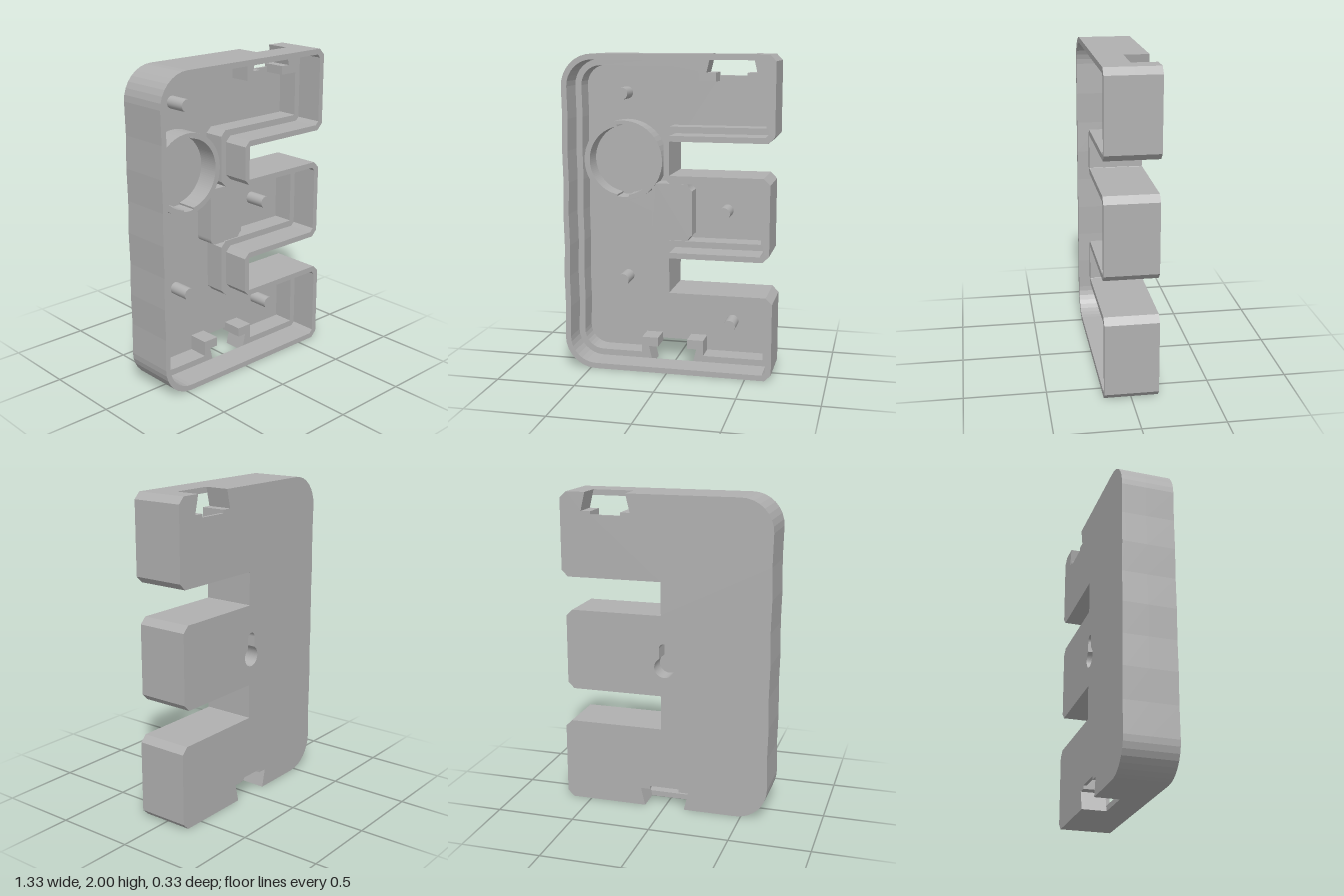
import * as THREE from 'three';

const BACK = -0.165, FLOOR = -0.145, LEDGE = -0.01, FRONT = 0.165;
const WALL = 0.075, RIM = 0.035;
const TOP_SLOT = 0.37; // x centre of the top slot; the bottom slot is at x = 0

const vec = (pts) => pts.map(([x, y]) => new THREE.Vector2(x, y));

// Right side of the E outline inset by d, from the bottom edge up to the top edge
function rightSide(d) {
  const c = Math.max(0.0025, 0.04 - 0.5 * d), k = d ? 0.035 : 0.002;
  const n = 0.02 - d;
  const pts = [];
  const arm = (x, y0, y1) => pts.push([x - c, y0 + d], [x, y0 + d + c], [x, y1 - d - c], [x - c, y1 - d]);
  const notch = (y0, y1) => pts.push([n + k, y0 - d], [n, y0 - d + k], [n, y1 + d - k], [n + k, y1 + d]);
  arm(0.663 - d, 0, 0.53);
  notch(0.53, 0.75);
  arm(0.64 - d, 0.75, 1.265);
  notch(1.265, 1.475);
  arm(0.663 - d, 1.475, 2);
  return pts;
}

// Left side with rounded corners and a slightly faceted edge, top to bottom
function leftSide(d) {
  const pts = [], r = 0.2 - d, cx = -0.465;
  const corner = (cy, a0) => {
    for (let i = 0; i <= 8; i++) {
      const a = a0 + (i / 8) * Math.PI / 2;
      pts.push([cx + r * Math.cos(a), cy + r * Math.sin(a)]);
    }
  };
  corner(1.8, Math.PI / 2);
  for (let i = 1; i < 8; i++) pts.push([-0.665 + d + 0.005 * (i % 2), 1.8 - i * 0.2]);
  corner(0.2, Math.PI);
  return pts;
}

const outline = (d) => [...rightSide(d), ...leftSide(d)];

// One side (s = 1 right, -1 left) of a dovetail slot, from the edge inward
function slotSide(s, top, depth) {
  const cx = top ? TOP_SLOT : 0;
  return [[0.13, 0], [0.157, 0.115], [0.096, 0.115], [0.096, depth]]
    .map(([x, y]) => [cx + s * x, top ? 2 - y : y]);
}

function keyhole() {
  const p = new THREE.Path();
  p.absarc(0, 0.935, 0.064, Math.PI - 1.03, 2 * Math.PI + 1.03, false);
  p.absarc(0, 1.055, 0.033, 0, Math.PI, false);
  p.closePath();
  return p;
}

export function createModel() {
  const group = new THREE.Group();
  const grey = new THREE.MeshStandardMaterial({ color: 0xb0b0b0 });
  grey.name = 'grey plastic';

  const add = (name, geometry) => {
    const mesh = new THREE.Mesh(geometry, grey);
    mesh.name = name;
    group.add(mesh);
    return mesh;
  };
  const slab = (name, shape, z0, z1) => {
    const g = new THREE.ExtrudeGeometry(shape, { depth: z1 - z0, bevelEnabled: false, curveSegments: 24 });
    g.translate(0, 0, z0);
    return add(name, g);
  };

  // Back plate, with both dovetail slots and the keyhole
  const plate = new THREE.Shape(vec([
    ...slotSide(1, false, 0.136).reverse(), ...rightSide(0), ...slotSide(1, true, 0.136),
    ...slotSide(-1, true, 0.136).reverse(), ...leftSide(0), ...slotSide(-1, false, 0.136),
  ]));
  plate.holes.push(keyhole());
  slab('backPlate', plate, BACK, FLOOR);

  // Thick lower walls, in two halves that end in the jaws of the slots
  const innerRight = [
    [0.096, 0.175], [0.203, 0.175], [0.203, WALL],
    ...rightSide(WALL).slice(0, -2), [0.588, 1.83], [TOP_SLOT + 0.096, 1.83],
  ];
  slab('lowerWallRight', new THREE.Shape(vec([
    ...slotSide(1, false, 0.175).reverse(), ...rightSide(0), ...slotSide(1, true, 0.17),
    ...innerRight.slice(1, -1).reverse(),
  ])), FLOOR, LEDGE);
  const innerLeft = [
    [0.165, 1.83], [0.165, 2 - WALL], ...leftSide(WALL), [-0.203, WALL], [-0.203, 0.175],
  ];
  slab('lowerWallLeft', new THREE.Shape(vec([
    ...slotSide(-1, true, 0.17).reverse(), ...leftSide(0), ...slotSide(-1, false, 0.175),
    ...innerLeft.reverse(),
  ])), FLOOR, LEDGE);

  // Thin front rim above the ledge
  const rim = new THREE.Shape(vec(outline(0)));
  rim.holes.push(new THREE.Path(vec(outline(RIM))));
  slab('frontRim', rim, LEDGE, FRONT);

  // Keyhole housing: hollow block with a closed front
  const housing = () => {
    const s = new THREE.Shape();
    s.moveTo(-0.09, 0.82);
    s.lineTo(0.095, 0.82);
    s.quadraticCurveTo(0.105, 0.85, 0.125, 0.86);
    s.lineTo(0.125, 1.145);
    s.quadraticCurveTo(0.105, 1.155, 0.095, 1.188);
    s.lineTo(-0.11, 1.188);
    s.lineTo(-0.135, 1.165);
    s.lineTo(-0.135, 0.865);
    s.quadraticCurveTo(-0.135, 0.82, -0.09, 0.82);
    return s;
  };
  const hollow = housing();
  hollow.holes.push(keyhole());
  slab('keyholeHousing', hollow, FLOOR, -0.045);
  slab('keyholeCover', housing(), -0.045, -0.02);

  // Round holder with two small notches in its bore
  const ring = new THREE.Shape();
  ring.absarc(0, 0, 0.255, 0, Math.PI * 2, false);
  const bore = new THREE.Path();
  const a = 0.17;
  for (const m of [Math.PI / 2, Math.PI * 1.5]) {
    bore.absarc(0, 0, 0.22, m - Math.PI + a, m - a, false);
    bore.absarc(0, 0, 0.232, m - a, m + a, false);
  }
  bore.closePath();
  ring.holes.push(bore);
  slab('roundHolder', ring, FLOOR, LEDGE).position.set(-0.322, 1.327, 0);

  // Locating pegs
  for (const [x, y] of [[-0.328, 1.75], [-0.328, 0.55], [0.33, 1.01], [0.37, 0.283]]) {
    const g = new THREE.CylinderGeometry(0.039, 0.039, 0.14, 24);
    g.rotateX(Math.PI / 2);
    add('peg', g).position.set(x, y, FLOOR + 0.07);
  }
  return group;
}
